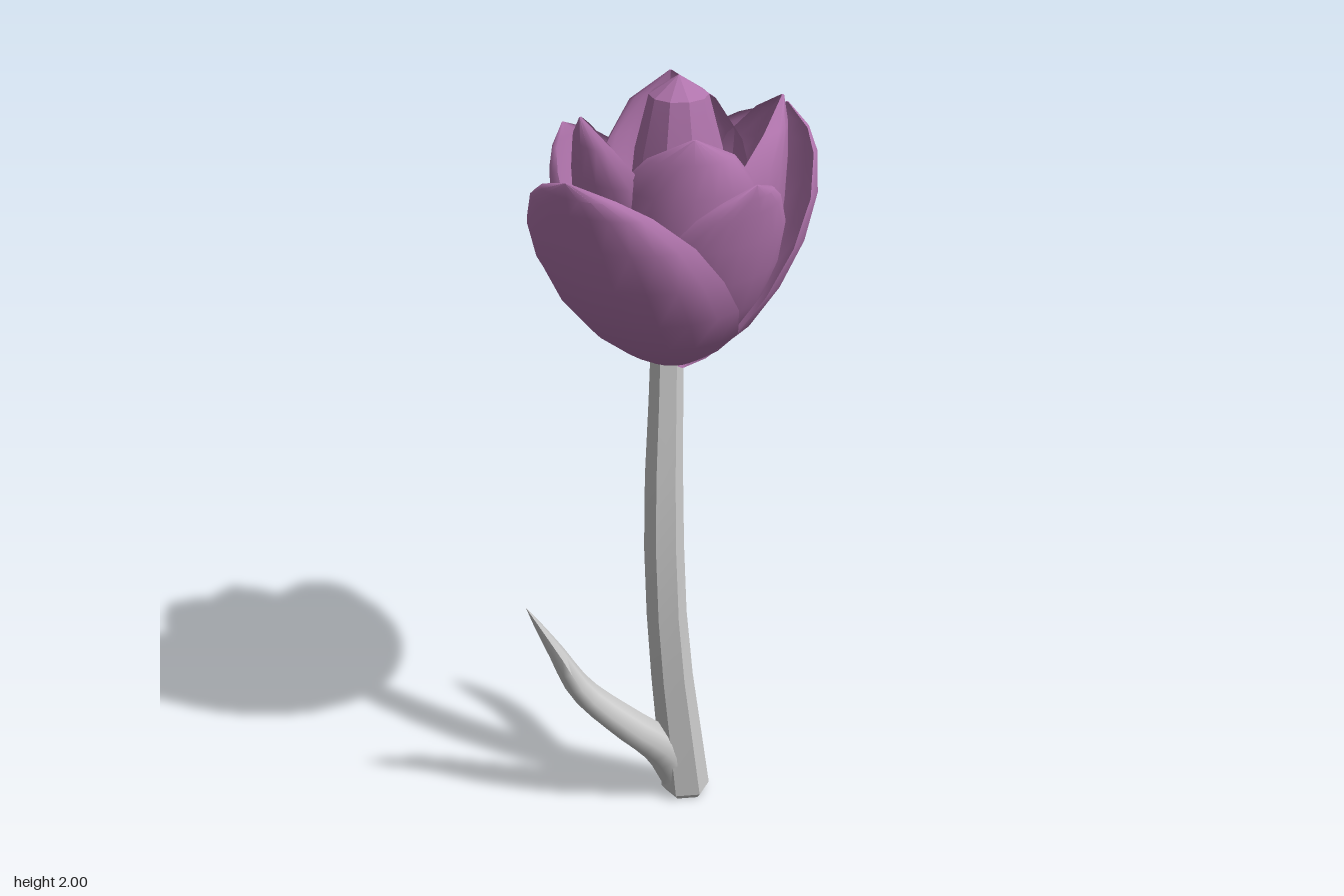
import * as THREE from 'three';
import { toCreasedNormals } from 'three/addons/utils/BufferGeometryUtils.js';

const grey = new THREE.MeshStandardMaterial({ color: 0xcccccc });
const purple = new THREE.MeshStandardMaterial({ color: 0xb074ac });
const V = (x, y, z) => new THREE.Vector3(x, y, z);

// Closed skin over rings of points (each counterclockwise from above, bottom to top)
function loft(rings, crease) {
  const n = rings[0].length, index = [];
  const points = rings.flat();
  for (let i = 0; i < rings.length - 1; i++) {
    for (let j = 0; j < n; j++) {
      const a = i * n + j, b = i * n + (j + 1) % n;
      index.push(a, b, b + n, a, b + n, a + n);
    }
  }
  const top = (rings.length - 1) * n;
  for (let j = 1; j < n - 1; j++) {
    index.push(0, j + 1, j, top, top + j, top + j + 1);
  }
  const geo = new THREE.BufferGeometry().setFromPoints(points);
  geo.setIndex(index);
  return toCreasedNormals(geo, crease);
}

function part(name, geo, material) {
  const mesh = new THREE.Mesh(geo, material);
  mesh.name = name;
  return mesh;
}

// Bent six-sided stem: [y, centre x, centre z, radius]
function stem() {
  const rows = [
    [0, 0.007, -0.06, 0.053], [0.015, 0.007, -0.06, 0.064], [0.2, 0.007, -0.03, 0.059],
    [0.4, 0.006, 0.002, 0.054], [0.6, 0.006, 0.026, 0.051], [0.8, 0.006, 0.037, 0.05],
    [1.0, 0.006, 0.037, 0.047], [1.2, 0.005, 0.027, 0.042], [1.36, 0.004, 0.02, 0.039],
  ];
  const rings = rows.map(([y, cx, cz, r]) => [0, 1, 2, 3, 4, 5].map((k) => {
    const a = k * Math.PI / 3 + 0.2;
    return V(cx + r * Math.sin(a), y, cz + r * Math.cos(a));
  }));
  return part('stem', loft(rings, 0.4), grey);
}

// Pointed leaf swept along a curve, narrow where it leaves the stem, lens-shaped section
function leaf(name, path, width, thickness) {
  const curve = new THREE.CatmullRomCurve3(path);
  const end = path[path.length - 1].clone().sub(path[0]);
  const across = V(0, 1, 0).cross(V(end.x, 0, end.z)).normalize();
  const rings = [];
  for (let i = 0; i <= 14; i++) {
    const t = i / 14, p = curve.getPoint(t);
    const out = across.clone().cross(curve.getTangent(t)).normalize();
    const taper = Math.max(0.02, Math.pow(1 - Math.pow(t, 3), 0.8));
    const halfWidth = width * taper * Math.min(1, 0.55 + 1.3 * t);
    const halfThickness = thickness * taper * (1 - 0.45 * t);
    const ring = [];
    for (let k = 0; k < 8; k++) {
      const a = k * Math.PI / 4;
      ring.push(p.clone()
        .addScaledVector(across, Math.sin(a) * halfWidth)
        .addScaledVector(out, Math.cos(a) * halfThickness));
    }
    rings.push(ring);
  }
  return part(name, loft(rings, 1.2), grey);
}

// Cupped petal facing +z: rows are [y, half width, margin z, middle z]
function petalGeometry(rows, skew) {
  const y0 = rows[0][0], height = rows[rows.length - 1][0] - y0;
  const rings = rows.map(([y, w, margin, middle]) => {
    const shift = skew * Math.pow((y - y0) / height, 3);
    const at = (a, depth) => V(w * Math.sin(a) + shift, y, margin + depth * Math.cos(a));
    const ring = [];
    for (let k = -5; k <= 5; k++) ring.push(at(k * Math.PI / 10, middle - margin));
    for (let k = 4; k >= -4; k--) ring.push(at(k * Math.PI / 10, (middle - margin) * 0.9 - 0.004));
    return ring;
  });
  return loft(rings, 1);
}

const outerRows = [
  [1.3, 0.06, -0.03, 0.05], [1.34, 0.12, -0.02, 0.12], [1.41, 0.19, 0.0, 0.21],
  [1.5, 0.23, 0.06, 0.285], [1.6, 0.242, 0.14, 0.335], [1.7, 0.22, 0.22, 0.365],
  [1.78, 0.16, 0.295, 0.38], [1.82, 0.1, 0.342, 0.387], [1.855, 0.004, 0.385, 0.39],
];
const innerRows = [
  [1.32, 0.04, -0.02, 0.04], [1.4, 0.1, 0.0, 0.13], [1.5, 0.15, 0.015, 0.195],
  [1.6, 0.175, 0.04, 0.233], [1.7, 0.178, 0.075, 0.25], [1.8, 0.155, 0.125, 0.256],
  [1.88, 0.1, 0.19, 0.255], [1.935, 0.004, 0.24, 0.246],
];
const scaled = (rows, w, r, h) =>
  rows.map(([y, a, b, c]) => [1.3 + (y - 1.3) * h, a * w, b * r, c * r]);

export function createModel() {
  const model = new THREE.Group();
  model.name = 'flower';

  model.add(stem());
  model.add(leaf('lowerLeaf', [
    V(0.0, 0.06, -0.045), V(-0.02, 0.17, 0.015), V(-0.08, 0.275, 0.1),
    V(-0.155, 0.39, 0.178), V(-0.196, 0.52, 0.23), V(-0.215, 0.68, 0.315),
  ], 0.063, 0.056));
  model.add(leaf('upperLeaf', [
    V(0.003, 0.4, 0.002), V(-0.025, 0.51, -0.03), V(-0.066, 0.59, -0.08),
    V(-0.09, 0.68, -0.113), V(-0.107, 0.78, -0.128), V(-0.115, 0.87, -0.135),
  ], 0.044, 0.046));

  // Petals: [name, profile, heading, width, reach, height, tip skew, centre x]
  const petals = [
    ['frontPetal', outerRows, 0, 1, 1, 1, -0.005, 0],
    ['backPetal', outerRows, Math.PI - 0.06, 1, 1, 0.98, -0.05, 0],
    ['leftPetal', outerRows, 1.4, 0.8, 0.8, 0.95, -0.05, 0],
    ['rightPetal', outerRows, -1.5, 0.8, 0.79, 0.95, -0.02, 0],
    ['innerFrontLeftPetal', innerRows, 0.74, 0.97, 1, 0.99, 0, 0.022],
    ['innerBackLeftPetal', innerRows, 2.22, 1.03, 0.98, 1, 0.045, 0.022],
    ['innerBackRightPetal', innerRows, -2.42, 1.03, 1, 1, -0.01, 0.022],
    ['innerFrontRightPetal', innerRows, -0.66, 1, 0.98, 1, 0.035, 0.022],
  ];
  for (const [name, rows, heading, w, r, h, skew, x] of petals) {
    const petal = part(name, petalGeometry(scaled(rows, w, r, h), skew), purple);
    petal.rotation.y = heading;
    petal.position.x = x;
    model.add(petal);
  }

  // Faceted bud in the middle
  const profile = [[0.0, 1.36], [0.06, 1.4], [0.1, 1.55], [0.112, 1.72], [0.1, 1.83], [0.068, 1.955], [0, 2]];
  const budGeometry = new THREE.LatheGeometry(profile.map(([r, y]) => new THREE.Vector2(r, y)), 10, Math.PI / 2);
  const bud = part('bud', toCreasedNormals(budGeometry, 0.2), purple);
  bud.position.x = 0.022;
  model.add(bud);

  return model;
}
